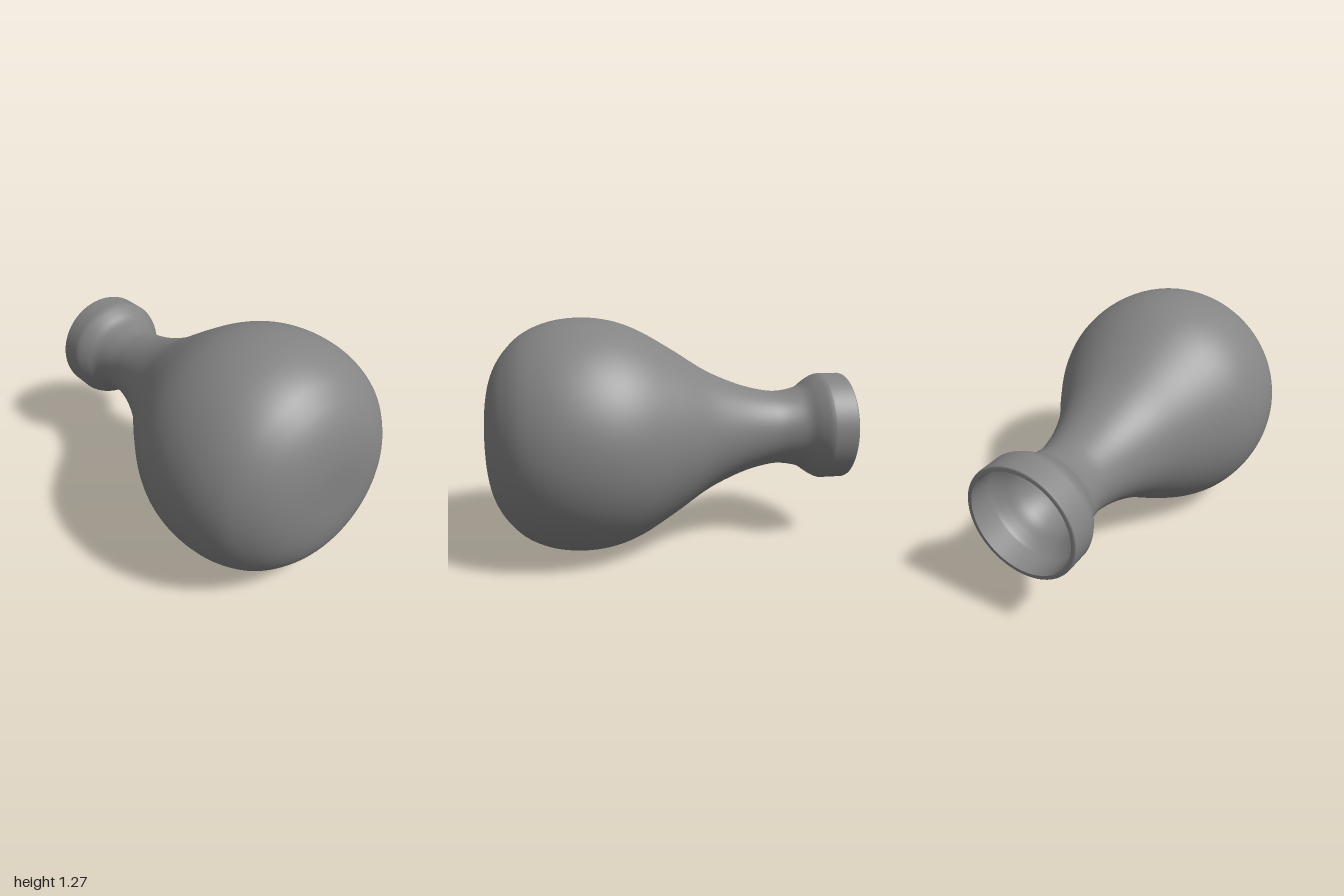
import * as THREE from 'three';

const AXIS_Y = 0.634;
const WALL = 0.025;
const SEGMENTS = 96;

// Smooth curve through [radius, height above base] points
function smooth(points, divisions) {
  const curve = new THREE.CatmullRomCurve3(
    points.map(([r, h]) => new THREE.Vector3(r, h, 0)), false, 'centripetal');
  return curve.getPoints(divisions).map(p => new THREE.Vector2(p.x, p.y));
}

// Move a profile inwards along its normals by the wall thickness
function inset(profile, distance) {
  return profile.map((p, i) => {
    const a = profile[Math.max(i - 1, 0)];
    const b = profile[Math.min(i + 1, profile.length - 1)];
    const t = b.clone().sub(a).normalize();
    return new THREE.Vector2(Math.max(p.x - t.y * distance, 0), p.y + t.x * distance);
  });
}

export function createModel() {
  const group = new THREE.Group();
  group.name = 'vase';
  const material = new THREE.MeshStandardMaterial({ side: THREE.DoubleSide });
  material.color.set(0x848484);

  // Vase built upright, then laid on its side with the mouth to the back
  const vase = new THREE.Group();
  vase.name = 'lyingVase';
  vase.rotation.x = -Math.PI / 2;
  vase.position.set(0, AXIS_Y, 1);
  group.add(vase);

  const addLathe = (name, points) => {
    const mesh = new THREE.Mesh(new THREE.LatheGeometry(points, SEGMENTS), material);
    mesh.name = name;
    vase.add(mesh);
  };

  // Softly rounded base, round belly, narrow neck and flared collar
  const body = [
    new THREE.Vector2(0, 0),
    ...smooth([
      [0.11, 0], [0.18, 0.003], [0.25, 0.012], [0.325, 0.031], [0.395, 0.062],
      [0.465, 0.11], [0.55, 0.2], [0.612, 0.34], [0.634, 0.51], [0.617, 0.67],
      [0.568, 0.81], [0.46, 1], [0.335, 1.2], [0.25, 1.4], [0.215, 1.54],
      [0.208, 1.61], [0.217, 1.69], [0.235, 1.75], [0.27, 1.8], [0.295, 1.842],
      [0.303, 1.865],
    ], 100),
    new THREE.Vector2(0.303, 1.88), new THREE.Vector2(0.303, 1.99),
  ];

  // Narrow rim with a slightly eased outer edge
  const rim = [[0.301, 1.997], [0.296, 2], [0.303 - WALL, 2]]
    .map(([r, h]) => new THREE.Vector2(r, h));

  const inner = inset(body, WALL);
  inner[inner.length - 1].y = 2;

  addLathe('outerWallAndRim', [...body, ...rim]);
  addLathe('innerWall', inner.reverse());

  return group;
}
